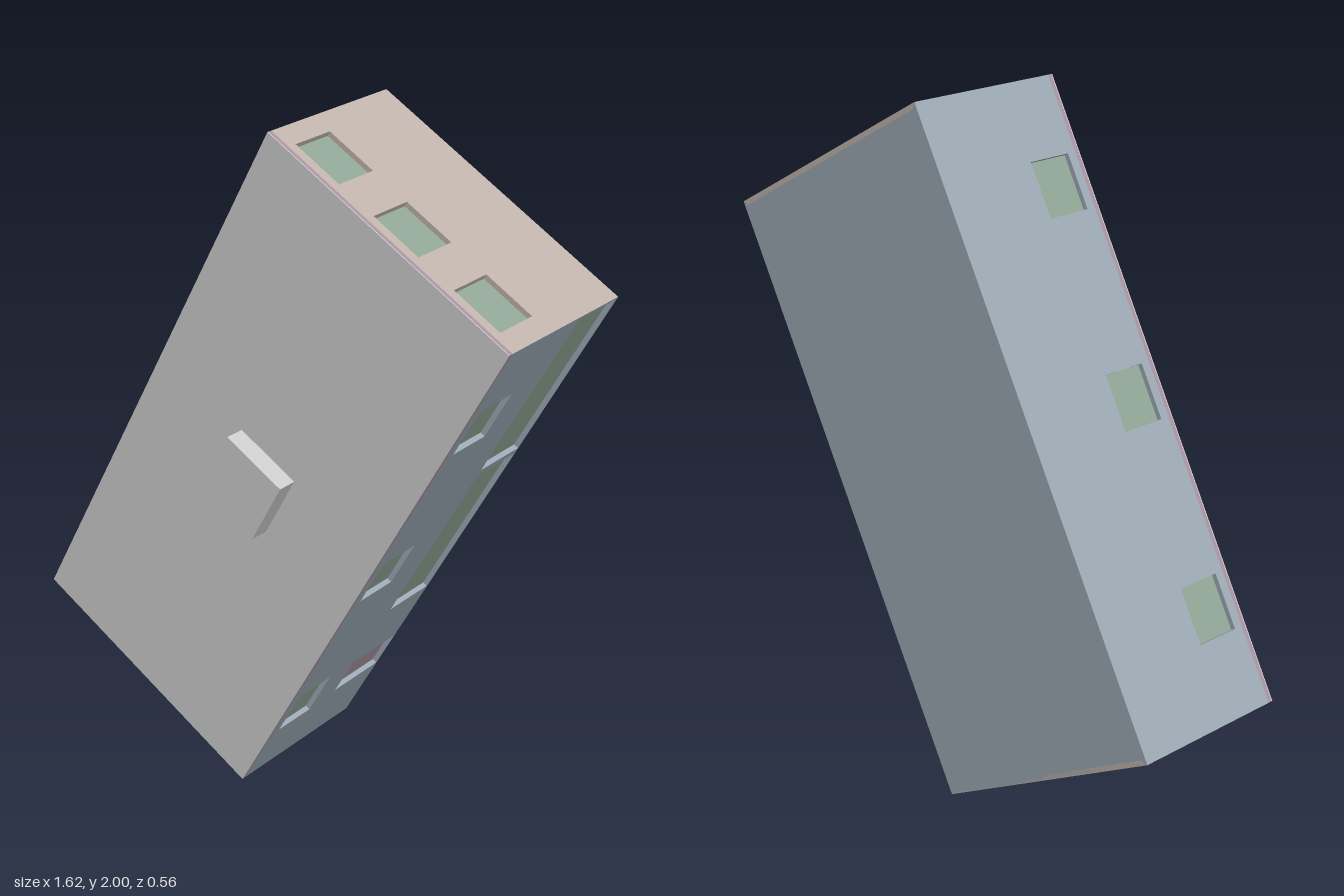
import * as THREE from 'three';

const L = 1.812, W = 0.86;            // footprint
const Y0 = -0.28, Y1 = 0.205, TOP = 0.22; // ground, wall top, roof top
const T = 0.015;                      // depth of the window recesses

const mat = (color) => new THREE.MeshStandardMaterial({ color, flatShading: true });
const slate = mat(0x9ca8b3), beige = mat(0xbfb2aa), glass = mat(0x8fa595);
const pink = mat(0xa9919f), grey = mat(0xcccccc);

function add(parent, name, geometry, material, x = 0, y = 0, z = 0) {
  const mesh = new THREE.Mesh(geometry, material);
  mesh.name = name;
  mesh.position.set(x, y, z);
  parent.add(mesh);
  return mesh;
}

// Wall facing +z with recessed openings { name, x0, x1, y0, y1, material }
function makeWall(name, width, material, openings) {
  const wall = new THREE.Group();
  wall.name = name;
  const h = width / 2;
  const shape = new THREE.Shape([[-h, Y0], [h, Y0], [h, Y1], [-h, Y1]].map((p) => new THREE.Vector2(...p)));
  for (const o of openings) {
    shape.holes.push(new THREE.Path(
      [[o.x0, o.y0], [o.x0, o.y1], [o.x1, o.y1], [o.x1, o.y0]].map((p) => new THREE.Vector2(...p))));
    add(wall, o.name, new THREE.PlaneGeometry(o.x1 - o.x0, o.y1 - o.y0), o.material,
      (o.x0 + o.x1) / 2, (o.y0 + o.y1) / 2, -T);
  }
  const geo = new THREE.ExtrudeGeometry(shape, { depth: T, bevelEnabled: false });
  geo.translate(0, 0, -T);
  // mitre the inner corners so neighbouring walls meet cleanly
  const p = geo.attributes.position;
  for (let i = 0; i < p.count; i++) {
    if (p.getZ(i) < -T / 2 && Math.abs(p.getX(i)) > h - 1e-4) p.setX(i, Math.sign(p.getX(i)) * (h - T));
  }
  geo.computeVertexNormals();
  add(wall, name + 'Panel', geo, material);
  return wall;
}

const windowRow = (spacing) => [-1, 0, 1].map((i) => ({
  name: 'window', x0: i * spacing - 0.08, x1: i * spacing + 0.08, y0: 0.037, y1: 0.177, material: glass,
}));

export function createModel() {
  const model = new THREE.Group();
  model.name = 'tiltedBuilding';
  const building = new THREE.Group();
  building.name = 'building';
  model.add(building);

  // Long walls: the front one has two shop windows and a door
  const sill = Y0 + 0.003;
  const front = makeWall('frontWall', L, slate, [
    ...windowRow(0.604),
    { name: 'shopWindow', x0: -0.29, x1: 0.298, y0: sill, y1: -0.1, material: glass },
    { name: 'shopWindow', x0: 0.32, x1: 0.897, y0: sill, y1: -0.1, material: glass },
    { name: 'door', x0: -0.666, x1: -0.529, y0: sill, y1: -0.075, material: pink },
  ]);
  front.position.z = W / 2;
  const back = makeWall('backWall', L, slate, windowRow(0.604));
  back.position.z = -W / 2;
  back.rotation.y = Math.PI;
  building.add(front, back);

  // End walls
  for (const s of [-1, 1]) {
    const end = makeWall('endWall', W, beige, windowRow(0.285));
    end.position.x = s * L / 2;
    end.rotation.y = s * Math.PI / 2;
    building.add(end);
  }

  // Floor, roof trim, roof and chimney
  add(building, 'floor', new THREE.PlaneGeometry(L, W), slate, 0, Y0, 0).rotation.x = Math.PI / 2;
  add(building, 'roofTrim', new THREE.BoxGeometry(L, 0.012, W), pink, 0, Y1 + 0.006, 0);
  add(building, 'roof', new THREE.BoxGeometry(L, 0.003, W), grey, 0, TOP - 0.0015, 0);
  add(building, 'chimney', new THREE.BoxGeometry(0.21, 0.06, 0.21), grey, 0, 0.25, 0);

  // Roof faces forward, long axis tilted
  building.rotation.set(Math.PI / 2, 0, Math.atan2(1.59, 0.87), 'ZYX');
  building.position.y = 1;
  return model;
}
